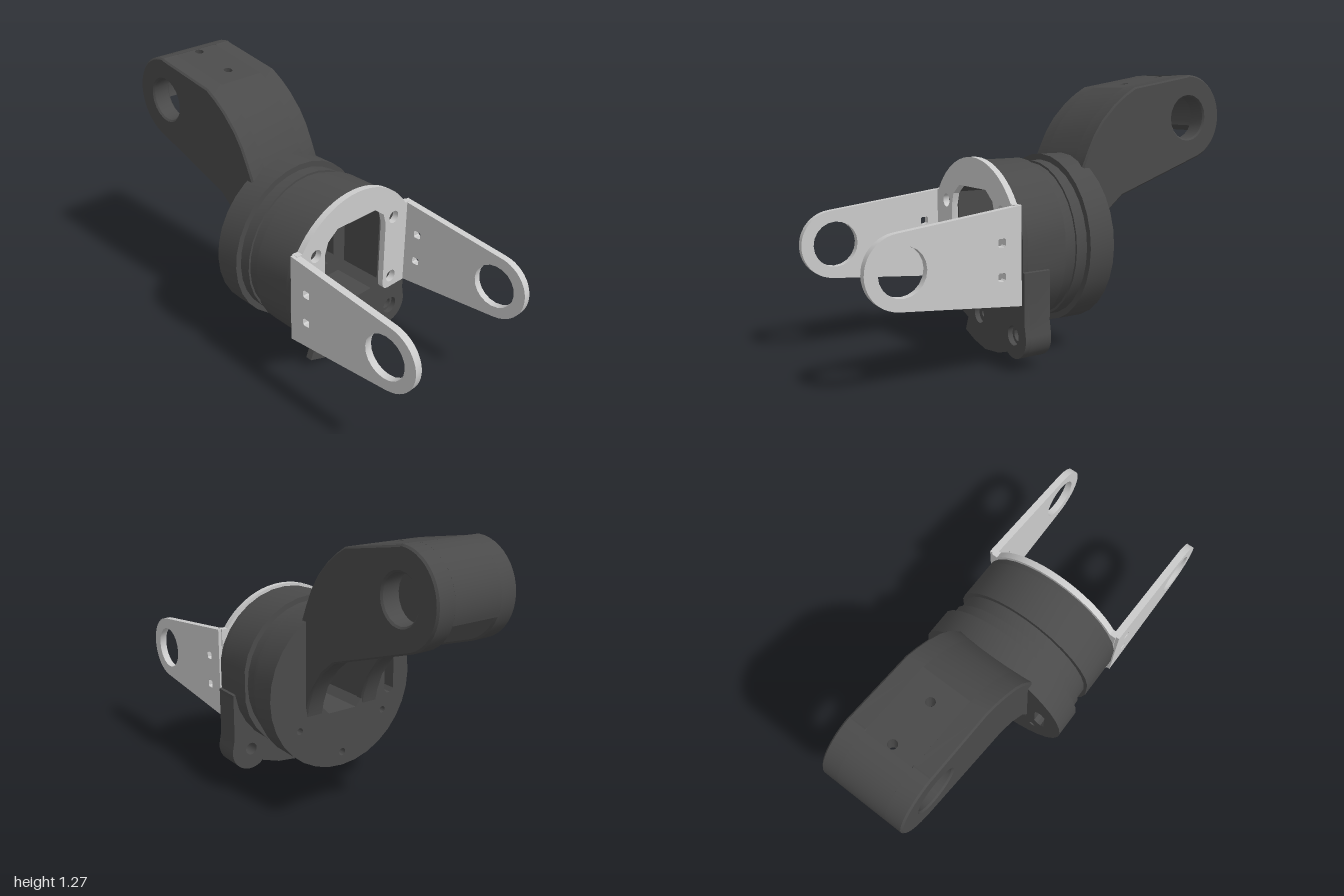
import * as THREE from 'three';
import { toCreasedNormals } from 'three/addons/utils/BufferGeometryUtils.js';

const CY = 0.51; // drum axis height
const dark = new THREE.MeshStandardMaterial({ color: 0x4a4a4a });
const light = new THREE.MeshStandardMaterial({ color: 0xcccccc });

const poly = (pts) => new THREE.Shape(pts.map(([a, b]) => new THREE.Vector2(a, b)));

function circle(x, y, r) {
  const p = new THREE.Path();
  p.absarc(x, y, r, 0, Math.PI * 2, true);
  return p;
}

// Rectangle with chamfered corners, used for window cut-outs
const chamferRect = (x0, x1, y0, y1, c) => poly([
  [x0 + c, y0], [x1 - c, y0], [x1, y0 + c], [x1, y1 - c],
  [x1 - c, y1], [x0 + c, y1], [x0, y1 - c], [x0, y0 + c]]);

function extrude(shape, depth, bevel = 0) {
  return new THREE.ExtrudeGeometry(shape, {
    depth: depth - 2 * bevel, curveSegments: 10, bevelEnabled: bevel > 0,
    bevelSize: bevel, bevelThickness: bevel, bevelOffset: -bevel, bevelSegments: 1,
  }).translate(0, 0, bevel);
}

function add(group, name, geo, mat) {
  const mesh = new THREE.Mesh(toCreasedNormals(geo, 0.5), mat);
  mesh.name = name;
  group.add(mesh);
  return mesh;
}

// Shape drawn in (x, y), filling z0..z1
const slab = (group, name, shape, z0, z1, mat, bevel = 0) =>
  add(group, name, extrude(shape, z1 - z0, bevel).translate(0, 0, z0), mat);

// Shape drawn in (z, y), filling x0..x1
const sideSlab = (group, name, shape, x0, x1, mat, bevel = 0) =>
  add(group, name, extrude(shape, x1 - x0, bevel).rotateY(-Math.PI / 2).translate(x1, 0, 0), mat);

// Drum cross-section with optional flats on the sides
function drumShape(r, holes, flat = r) {
  const pts = [];
  for (let i = 0; i < 32; i++) {
    const a = (i / 32) * Math.PI * 2;
    pts.push([THREE.MathUtils.clamp(r * Math.cos(a), -flat, flat), CY + r * Math.sin(a)]);
  }
  const s = poly(pts);
  s.holes.push(...holes);
  return s;
}

function buildDrum() {
  const g = new THREE.Group();
  g.name = 'drum';
  const rearWindow = () => chamferRect(-0.112, 0.112, 0.39, 0.77, 0.035);
  const frontWindow = () => chamferRect(-0.187, 0.187, 0.32, 0.77, 0.04);
  const pin = (r = 0.018) => circle(0, 0.18, r);

  // Rear disc with a blind slot and small holes
  const slot = chamferRect(-0.305, -0.25, 0.42, 0.6, 0.018);
  slab(g, 'rearDisc', drumShape(0.396, [rearWindow(), pin(), slot,
    circle(-0.24, 0.34, 0.016), circle(0.24, 0.34, 0.016)]), -0.18, -0.05, dark);
  // Stepped neck
  slab(g, 'neckRear', drumShape(0.368, [rearWindow(), pin()]), -0.05, 0.005, dark);
  slab(g, 'neckFront', drumShape(0.358, [rearWindow(), pin()]), 0.005, 0.07, dark);
  // Front housing, with a counterbored pin hole
  slab(g, 'housing', drumShape(0.383, [frontWindow(), pin()], 0.372), 0.07, 0.265, dark);
  slab(g, 'housingFace', drumShape(0.383, [frontWindow(), pin(0.042)], 0.372), 0.265, 0.29, dark);

  // Corner lug, with a counterbored hole
  for (const [name, r, z0, z1] of [['lug', 0.03, 0.16, 0.265], ['lugFace', 0.044, 0.265, 0.29]]) {
    const s = new THREE.Shape();
    s.moveTo(0.1, 0.15);
    s.lineTo(0.12, 0.122);
    s.lineTo(0.195, 0.118);
    s.absarc(0.298, 0.147, 0.098, -2.2, 0.2, false);
    s.lineTo(0.384, 0.22);
    s.lineTo(0.384, 0.44);
    s.lineTo(0.3, 0.46);
    s.lineTo(0.21, 0.28);
    s.holes.push(circle(0.293, 0.15, r));
    slab(g, name, s, z0, z1, dark);
  }

  // Thin fin under the housing
  slab(g, 'fin', poly([[-0.16, 0.17], [-0.207, 0.052], [-0.12, 0.02], [-0.02, 0],
    [0.1, 0.014], [0.21, 0.05], [0.29, 0.05], [0.2, 0.13], [0.05, 0.15], [-0.05, 0.15]]), 0.215, 0.248, dark);
  return g;
}

function buildArm() {
  const g = new THREE.Group();
  g.name = 'arm';
  const PZ = -0.79, PY = 1.065, R = 0.21;

  // Two cheeks with the pivot bore
  const cheek = () => {
    const s = poly([[-0.14, 0.4], [-0.14, 0.84], [-0.18, 0.93], [-0.215, 1.0], [-0.26, 1.065],
      [-0.33, 1.135], [-0.39, 1.18], [-0.45, 1.215], [-0.78, 1.27]]);
    s.absarc(PZ, PY, R, Math.PI / 2, Math.PI * 1.38, false);
    for (const [z, y] of [[-0.38, 0.705], [-0.3, 0.64], [-0.225, 0.54], [-0.19, 0.45], [-0.18, 0.4]]) s.lineTo(z, y);
    s.holes.push(circle(PZ, PY, 0.105));
    return s;
  };
  sideSlab(g, 'leftCheek', cheek(), 0.11, 0.205, dark, 0.008);
  sideSlab(g, 'rightCheek', cheek(), -0.205, -0.11, dark, 0.008);

  // Curved web joining the cheeks above the drum
  sideSlab(g, 'curvedWeb', poly([[-0.14, 0.84], [-0.18, 0.93], [-0.215, 1.0], [-0.26, 1.065],
    [-0.33, 1.135], [-0.39, 1.18], [-0.45, 1.215], [-0.44, 1.125], [-0.36, 1.06], [-0.29, 0.98],
    [-0.22, 0.86], [-0.18, 0.775], [-0.14, 0.775]]), -0.12, 0.12, dark);

  // Straight web with two small holes
  const plate = poly([[-0.12, 0], [0.12, 0], [0.12, 0.355], [-0.12, 0.355]]);
  plate.holes.push(circle(0, 0.1, 0.021), circle(0, 0.325, 0.021));
  const geo = extrude(plate, 0.088).translate(0, 0, -0.088)
    .rotateX(-Math.PI / 2).rotateX(0.165).translate(0, 1.215, -0.45);
  add(g, 'straightWeb', geo, dark);

  // Rounded nose, open underneath
  const nose = new THREE.Shape();
  nose.absarc(PZ, PY, R, 1.6, 3.5, false);
  nose.absarc(PZ, PY, 0.125, 3.5, 1.6, true);
  sideSlab(g, 'noseWeb', nose, -0.12, 0.12, dark);
  return g;
}

function buildBracket() {
  const g = new THREE.Group();
  g.name = 'bracket';

  // Arched face plate
  const s = new THREE.Shape();
  s.moveTo(0.195, 0.345);
  s.quadraticCurveTo(0.195, 0.3, 0.235, 0.3);
  s.lineTo(0.36, 0.3);
  s.lineTo(0.36, 0.73);
  s.lineTo(0.329, 0.73);
  s.absarc(0, CY, 0.396, 0.588, Math.PI - 0.588, false);
  for (const [x, y] of [[-0.36, 0.73], [-0.36, 0.3], [-0.235, 0.3]]) s.lineTo(x, y);
  s.quadraticCurveTo(-0.195, 0.3, -0.195, 0.345);
  for (const [x, y] of [[-0.195, 0.67], [-0.178, 0.725], [-0.12, 0.77],
    [0.12, 0.77], [0.178, 0.725], [0.195, 0.67]]) s.lineTo(x, y);
  for (const x of [-0.25, 0.25]) for (const y of [0.36, 0.685]) s.holes.push(circle(x, y, 0.031));
  slab(g, 'facePlate', s, 0.291, 0.322, light);

  // Tapered side flanges with pivot eyes
  for (const [name, x0] of [['leftFlange', 0.342], ['rightFlange', -0.376]]) {
    const f = poly([[0.298, 0.73], [0.298, 0.3], [0.86, 0.355]]);
    f.absarc(0.845, CY, 0.155, -1.47, 1.47, false);
    f.holes.push(circle(0.84, CY, 0.104));
    for (const y of [0.435, 0.58]) f.holes.push(chamferRect(0.375, 0.412, y - 0.018, y + 0.018, 0.006));
    sideSlab(g, name, f, x0, x0 + 0.034, light);
  }
  return g;
}

export function createModel() {
  const model = new THREE.Group();
  model.name = 'jointAssembly';
  model.add(buildDrum(), buildArm(), buildBracket());
  return model;
}
